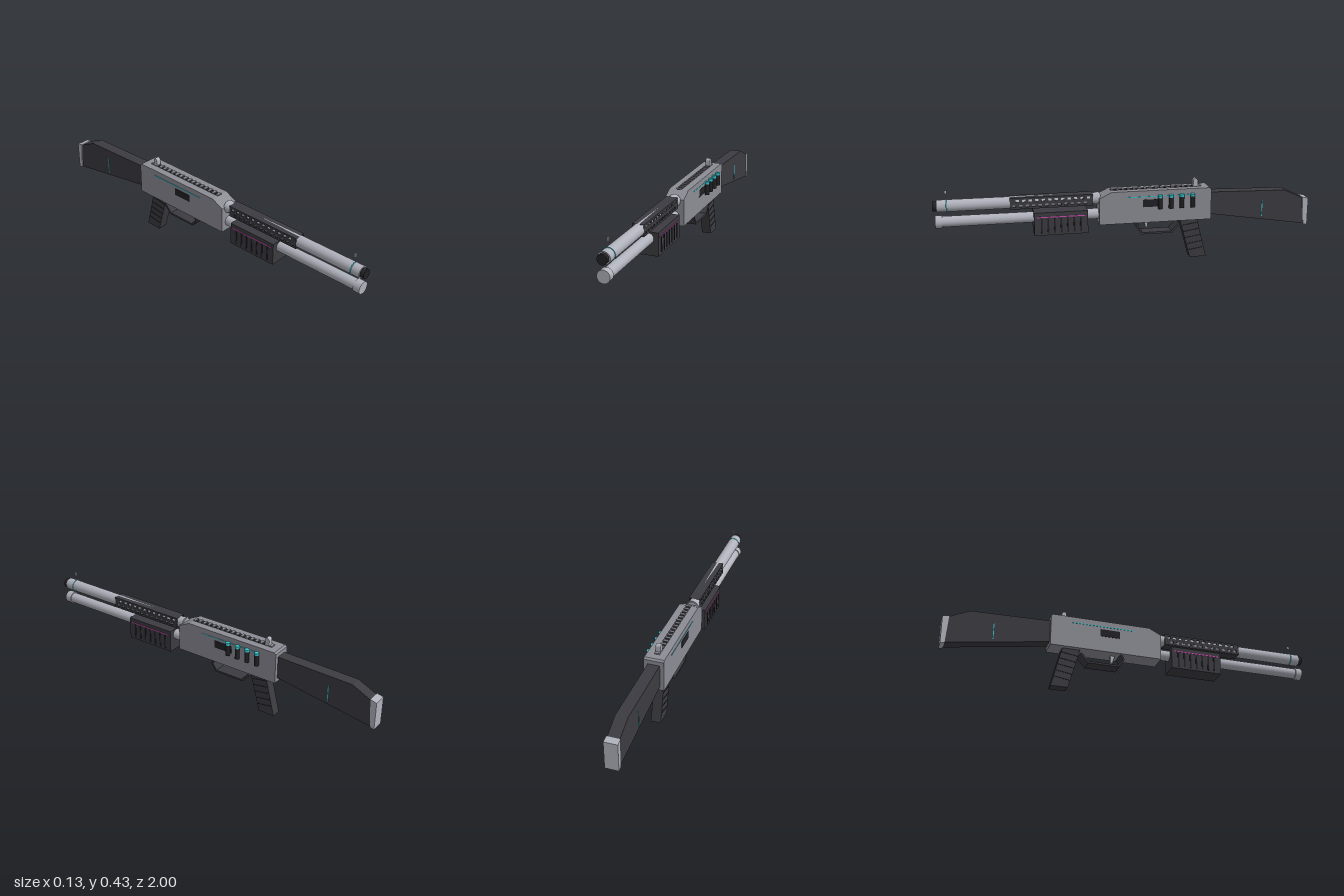
import * as THREE from 'three';

const mat = (color) => new THREE.MeshStandardMaterial({ color });
const steel = mat(0xb0b2bc), body = mat(0x8c8c95), dark = mat(0x3b3b41), black = mat(0x222226);
const cyan = mat(0x35c5cf), pink = mat(0xd24fb4);

export function createModel() {
  const gun = new THREE.Group();
  gun.name = 'shotgun';
  gun.position.x = -0.012;

  const add = (name, geo, material, x = 0, y = 0, z = 0) => {
    const m = new THREE.Mesh(geo, material);
    m.name = name;
    m.position.set(x, y, z);
    gun.add(m);
    return m;
  };
  // Box given by its extent in y and z, centred on x
  const box = (name, material, x, w, y0, y1, z0, z1) =>
    add(name, new THREE.BoxGeometry(w, y1 - y0, Math.abs(z1 - z0)), material, x, (y0 + y1) / 2, (z0 + z1) / 2);
  // Cylinder along z
  const rod = (name, material, y, z0, z1, rBack, rFront = rBack, seg = 32) =>
    add(name, new THREE.CylinderGeometry(rFront, rBack, z1 - z0, seg).rotateX(Math.PI / 2), material, 0, y, (z0 + z1) / 2);
  // Side profile of [z, y] points, extruded across x
  const outline = (pts) => new THREE.Shape(pts.map(([z, y]) => new THREE.Vector2(z, y)));
  const slab = (name, material, shape, w, x = 0) => {
    const geo = new THREE.ExtrudeGeometry(shape, { depth: w, bevelEnabled: false, curveSegments: 10 });
    geo.translate(0, 0, -w / 2).rotateY(-Math.PI / 2);
    return add(name, geo, material, x);
  };

  // Receiver with sloped nose
  slab('receiver', body, outline([[-0.45, 0.217], [0.15, 0.217], [0.15, 0.358], [0.085, 0.39], [-0.44, 0.39], [-0.45, 0.382]]), 0.104);

  // Top rail
  box('railBase', black, 0, 0.026, 0.389, 0.392, -0.4, 0.085);
  for (let i = 0; i < 17; i++) {
    const z = -0.395 + i * 0.0295;
    box('railTooth', body, 0, 0.028, 0.389, 0.396, z - 0.007, z + 0.007);
  }

  // Sights
  box('rearSight', steel, 0, 0.026, 0.39, 0.421, -0.385, -0.36);
  add('rearSightTop', new THREE.CylinderGeometry(0.0125, 0.0125, 0.026, 20).rotateZ(Math.PI / 2), steel, 0, 0.421, -0.3725);
  box('frontSight', steel, 0, 0.008, 0.413, 0.43, 0.924, 0.936);

  // Barrel
  rod('barrel', steel, 0.35, 0.14, 0.978, 0.0295, 0.0315);
  rod('muzzle', black, 0.35, 0.97, 1.0, 0.0255);
  rod('barrelCollar', steel, 0.35, 0.145, 0.172, 0.034, 0.03);
  add('barrelRing', new THREE.TorusGeometry(0.0315, 0.0025, 10, 40), cyan, 0, 0.35, 0.93);

  // Magazine tube
  rod('magazineTube', steel, 0.266, 0.14, 0.97, 0.028);
  rod('magazineCap', steel, 0.266, 0.953, 0.99, 0.033);

  // Perforated heat shield
  for (const s of [-1, 1]) {
    const side = outline([[0.18, 0.32], [0.61, 0.32], [0.61, 0.38], [0.18, 0.38]]);
    for (const [y, shift] of [[0.364, 0], [0.336, 0.017]]) {
      for (let i = 0; i < 12; i++) {
        const z = 0.195 + shift + i * 0.0335;
        const hole = new THREE.Path();
        hole.moveTo(z, y - 0.006);
        hole.lineTo(z, y + 0.006);
        hole.lineTo(z + 0.017, y + 0.006);
        hole.lineTo(z + 0.017, y - 0.006);
        hole.closePath();
        side.holes.push(hole);
      }
    }
    slab('heatShieldSide', dark, side, 0.004, s * 0.029);
    box('heatShieldPlate', dark, 0, 0.054, 0.35 + s * 0.03 - 0.0015, 0.35 + s * 0.03, 0.18, 0.61);
  }

  // Pump grip with ribs and accent lines
  box('pumpGrip', dark, 0, 0.104, 0.178, 0.3, 0.21, 0.49);
  for (const s of [-1, 1]) {
    for (let i = 0; i < 7; i++) {
      const z = 0.248 + i * 0.034;
      box('pumpRib', black, s * 0.052, 0.005, 0.19, 0.268, z - 0.004, z + 0.004);
    }
    box('pumpAccent', pink, s * 0.052, 0.005, 0.273, 0.278, 0.225, 0.475);
  }

  // Side details of receiver and stock
  for (const s of [-1, 1]) {
    box('ejectionPort', black, s * 0.052, 0.004, 0.302, 0.342, -0.185, -0.08);
    box('receiverAccent', cyan, s * 0.052, 0.004, 0.356, 0.36, -0.34, 0.0);
    box('stockAccent', cyan, s * 0.0315, 0.003, 0.21, 0.3, -0.742, -0.738);
  }

  // Spare shells on the left side
  for (let i = 0; i < 4; i++) {
    const z = -0.17 - i * 0.0585;
    add('shell', new THREE.CylinderGeometry(0.012, 0.012, 0.06, 20), black, 0.064, 0.322, z);
    add('shellCap', new THREE.CylinderGeometry(0.0125, 0.0125, 0.013, 20), cyan, 0.064, 0.3585, z);
  }

  // Trigger guard: bent strip
  slab('triggerGuard', dark, outline([
    [-0.062, 0.22], [-0.046, 0.192], [-0.077, 0.147], [-0.243, 0.147], [-0.288, 0.195],
    [-0.28, 0.202], [-0.238, 0.157], [-0.082, 0.157], [-0.057, 0.192], [-0.074, 0.22],
  ]), 0.072);
  slab('trigger', steel, outline([[-0.092, 0.22], [-0.1, 0.195], [-0.104, 0.178], [-0.115, 0.178], [-0.116, 0.198], [-0.118, 0.22]]), 0.016);

  // Pistol grip with ribs
  slab('pistolGrip', dark, outline([[-0.285, 0.22], [-0.38, 0.22], [-0.435, 0], [-0.345, 0]]), 0.052);
  for (let i = 0; i < 5; i++) {
    const y = 0.04 + i * 0.035, front = -0.345 + y * 0.273, back = -0.435 + y * 0.25;
    slab('gripRib', black, outline([[back + 0.006, y + 0.012], [back + 0.006, y + 0.016], [front - 0.004, y + 0.003], [front - 0.004, y - 0.001]]), 0.056);
  }

  // Stock and butt plate
  slab('stock', dark, outline([[-0.44, 0.36], [-0.44, 0.241], [-0.98, 0.156], [-0.966, 0.302], [-0.865, 0.35]]), 0.062);
  slab('buttPlate', steel, outline([[-0.966, 0.306], [-0.978, 0.154], [-1.0, 0.148], [-1.0, 0.298]]), 0.07);

  return gun;
}
